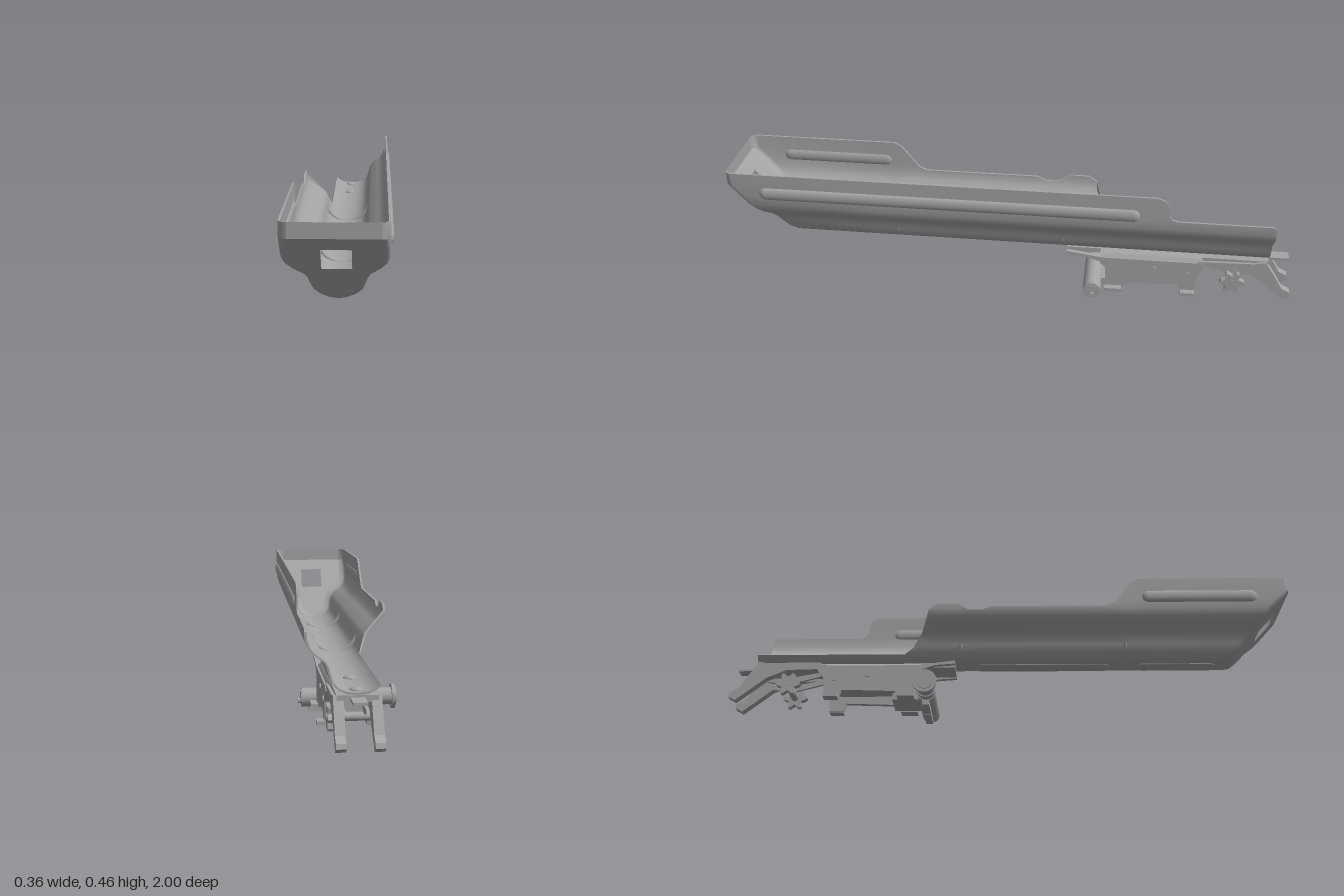
import * as THREE from 'three';
import { toCreasedNormals } from 'three/addons/utils/BufferGeometryUtils.js';

const CX = 0.017; // centre line of the tray
const T = 0.007; // sheet thickness
const clamp = THREE.MathUtils.clamp;

// Half cross-section of the tray: distance from the centre line, height
const PROFILE = [[0, 0.178], [0.03, 0.181], [0.055, 0.192], [0.073, 0.21], [0.082, 0.235], [0.088, 0.257],
  [0.096, 0.272], [0.125, 0.295], [0.142, 0.314], [0.15, 0.338], [0.151, 0.37], [0.151, 0.41], [0.151, 0.457]];
// Height of each rim along z
const RIGHT_RIM = [[-0.91, 0.36], [-0.9, 0.37], [-0.58, 0.37], [-0.56, 0.376], [-0.55, 0.39], [-0.545, 0.425],
  [-0.535, 0.445], [-0.51, 0.457], [1, 0.457]];
const LEFT_RIM = [[-0.91, 0.205], [-0.38, 0.205], [-0.35, 0.225], [-0.32, 0.27], [-0.29, 0.34], [-0.26, 0.36],
  [-0.19, 0.36], [-0.15, 0.335], [-0.1, 0.335], [-0.07, 0.348], [0.34, 0.348], [0.37, 0.36], [0.43, 0.44],
  [0.46, 0.457], [1, 0.457]];

function lerpTable(table, key, from = 0) {
  const to = 1 - from;
  if (key <= table[0][from]) return table[0][to];
  for (let i = 1; i < table.length; i++) {
    const a = table[i - 1], b = table[i];
    if (key <= b[from]) return a[to] + (b[to] - a[to]) * (key - a[from]) / (b[from] - a[from]);
  }
  return table[table.length - 1][to];
}

const frontZ = y => Math.min(1, 0.79 + 0.9 * (y - 0.178));

// Half width at height y; side -1 is the cut-away wall, inset rounds the front corners
function halfWidth(y, side, z, inset) {
  let w = lerpTable(PROFILE, y, 1);
  if (side < 0) w += clamp((y - 0.26) / 0.05, 0, 1) * (z < 0.4 ? 0.013 : 0.008);
  return Math.max(0, w - inset * Math.min(1, w / 0.05));
}

function trayGeometry() {
  const zs = [...new Set([...RIGHT_RIM, ...LEFT_RIM].map(p => p[0]))].filter(z => z < 0.7).sort((a, b) => a - b);
  const stations = zs.map(z => ({ z }));
  for (const off of [0.025, 0.017, 0.01, 0.004, 0]) stations.push({ off });
  const half = PROFILE.map(p => p[1]);
  const chain = [...half.slice(1).reverse().map(y => [-1, y]), ...half.map(y => [1, y])];
  const M = chain.length, N = 2 * M, pos = [], idx = [];
  for (const s of stations) {
    const outer = [], inner = [];
    for (const [side, py] of chain) {
      const rim = s.z === undefined ? 0.457 : lerpTable(side < 0 ? LEFT_RIM : RIGHT_RIM, s.z);
      const y = Math.min(py, rim);
      const z = s.z === undefined ? frontZ(y) - s.off : s.z;
      const inset = s.z === undefined ? 0.025 - Math.sqrt(0.025 ** 2 - (0.025 - s.off) ** 2) : 0;
      const w = halfWidth(y, side, z, inset), k = clamp((y - 0.178) / 0.06, 0, 1);
      outer.push([CX + side * w, y, z]);
      inner.push([CX + side * Math.max(0, w - T * k), y + T * (1 - k), z]);
    }
    for (const p of [...outer, ...inner.reverse()]) pos.push(...p);
  }
  for (let s = 0; s < stations.length - 1; s++) {
    for (let i = 0; i < N; i++) {
      const a = s * N + i, b = s * N + (i + 1) % N;
      idx.push(a, b, b + N, a, b + N, a + N);
    }
  }
  // Rear edge of the sheet
  for (let i = 0; i < M - 1; i++) idx.push(i, N - 1 - i, i + 1, i + 1, N - 1 - i, N - 2 - i);
  return meshData(pos, idx);
}

// Sloping front wall with a square window
function frontWallGeometry() {
  const ys = [...PROFILE.map(p => p[1]), 0.298].sort((a, b) => a - b);
  const pos = [], idx = [];
  ys.forEach((y, r) => {
    const xl = CX - halfWidth(y, -1, 1, 0.025), xr = CX + halfWidth(y, 1, 1, 0.025);
    for (const x of [xl, -0.027, 0.06, xr]) pos.push(clamp(x, xl, xr), y, frontZ(y));
    if (r === 0) return;
    for (let c = 0; c < 3; c++) {
      if (c === 1 && y > 0.299 && y < 0.371) continue;
      const a = (r - 1) * 4 + c;
      idx.push(a, a + 1, a + 5, a, a + 5, a + 4);
    }
  });
  return meshData(pos, idx);
}

function meshData(pos, idx) {
  const g = new THREE.BufferGeometry();
  g.setAttribute('position', new THREE.Float32BufferAttribute(pos, 3));
  g.setIndex(idx);
  return toCreasedNormals(g, 0.6);
}

export function createModel() {
  const group = new THREE.Group();
  const steel = new THREE.MeshStandardMaterial({ color: 0xa4a4a4, side: THREE.DoubleSide });
  steel.name = 'grey steel';

  const add = (name, geo, x = 0, y = 0, z = 0) => {
    const m = new THREE.Mesh(geo, steel);
    m.name = name;
    m.position.set(x, y, z);
    group.add(m);
    return m;
  };
  const box = (name, x0, x1, y0, y1, z0, z1) => add(name, new THREE.BoxGeometry(x1 - x0, y1 - y0, z1 - z0),
    (x0 + x1) / 2, (y0 + y1) / 2, (z0 + z1) / 2);
  // Rod lying along x
  const rod = (name, r, x0, x1, y, z, sides = 24) =>
    add(name, new THREE.CylinderGeometry(r, r, x1 - x0, sides).rotateZ(Math.PI / 2), (x0 + x1) / 2, y, z);
  // Flat plate drawn as [z, y] points, spanning x0 to x1
  const plate = (name, pts, x0, x1) => {
    const shape = new THREE.Shape(pts.map(([z, y]) => new THREE.Vector2(-z, y)));
    const geo = new THREE.ExtrudeGeometry(shape, { depth: x1 - x0, bevelEnabled: false }).rotateY(Math.PI / 2);
    return add(name, geo, x0);
  };

  // Tray
  add('tray', trayGeometry());
  add('frontWall', frontWallGeometry());

  // Pressed ribs on the side walls
  const rib = (name, x, z0, z1) => {
    const geo = new THREE.CapsuleGeometry(0.023, z1 - z0 - 0.046, 6, 16).rotateX(Math.PI / 2).scale(0.5, 1, 1);
    add(name, geo, x, 0.385, (z0 + z1) / 2);
  };
  rib('rightRib', CX + 0.15, -0.45, 0.88);
  rib('leftRib', CX - 0.157, 0.47, 0.88);

  // Pressed rings and pads under the belly
  for (const z of [0.41, -0.18]) {
    const ring = new THREE.TorusGeometry(0.082, 0.008, 8, 24, Math.PI * 0.8).rotateZ(Math.PI * 1.1);
    add('bellyRing', ring, CX, 0.264, z);
  }
  for (const [z0, z1] of [[0.45, 0.74], [-0.13, 0.36]]) {
    const pad = new THREE.CapsuleGeometry(0.03, z1 - z0 - 0.06, 6, 16).rotateX(Math.PI / 2).scale(1, 0.2, 1);
    add('bellyPad', pad, CX, 0.18, (z0 + z1) / 2);
  }
  for (const z of [-0.87, -0.69]) add('rivet', new THREE.SphereGeometry(0.02, 16, 8).scale(1, 0.5, 1), CX, 0.186, z);

  // Arched saddle joining the tray to the clamp
  const arch = new THREE.Shape();
  arch.moveTo(-0.073, 0.135);
  arch.bezierCurveTo(-0.073, 0.165, -0.055, 0.18, -0.03, 0.18);
  arch.lineTo(0.03, 0.18);
  arch.bezierCurveTo(0.055, 0.18, 0.073, 0.165, 0.073, 0.135);
  arch.lineTo(0.056, 0.135);
  arch.bezierCurveTo(0.056, 0.155, 0.045, 0.163, 0.03, 0.163);
  arch.lineTo(-0.03, 0.163);
  arch.bezierCurveTo(-0.045, 0.163, -0.056, 0.155, -0.056, 0.135);
  arch.closePath();
  const archGeo = new THREE.ExtrudeGeometry(arch, { depth: 0.36, bevelEnabled: false, curveSegments: 8 });
  add('saddle', toCreasedNormals(archGeo, 0.6), CX, 0, -0.68);
  box('saddleNose', CX - 0.045, CX + 0.045, 0.163, 0.18, -0.32, -0.2);
  box('saddleTail', CX - 0.06, CX + 0.06, 0.158, 0.178, -0.91, -0.68);
  box('tongue', -0.004, 0.038, 0.163, 0.172, -0.985, -0.9);

  const cheek = [[-0.2, 0.178], [-0.2, 0.165], [-0.27, 0.16], [-0.32, 0.142], [-0.34, 0.115], [-0.34, 0.035],
    [-0.4, 0.035], [-0.41, 0.06], [-0.6, 0.066], [-0.61, 0.035], [-0.66, 0.035], [-0.665, 0.11], [-0.69, 0.145],
    [-0.68, 0.16], [-0.33, 0.16]];
  const claw = [[-0.66, 0.165], [-0.68, 0.148], [-0.8, 0.145], [-0.87, 0.115], [-0.935, 0.062], [-0.975, 0.03],
    [-1, 0.045], [-0.995, 0.06], [-0.965, 0.075], [-0.935, 0.125], [-0.9, 0.178], [-0.86, 0.17]];
  const link = [[-0.67, 0.135], [-0.68, 0.148], [-0.8, 0.125], [-0.86, 0.125], [-0.87, 0.112], [-0.8, 0.1]];

  // Star-shaped nut outline
  const star = [];
  for (let i = 0; i < 36; i++) {
    const a = i / 36 * Math.PI * 2, r = 0.035 + 0.009 * Math.cos(a * 6);
    star.push([-0.79 + r * Math.cos(a), 0.09 + r * Math.sin(a)]);
  }

  // Mirrored clamp parts
  for (const s of [-1, 1]) {
    const span = (a, b) => s > 0 ? [CX + a, CX + b] : [CX - b, CX - a];
    plate('cheek', cheek, ...span(0.057, 0.073));
    plate('claw', claw, ...span(0.04, 0.07));
    plate('link', link, ...span(0.03, 0.04));
    plate('starNut', star, ...span(0.056, 0.078));
    for (const [z0, z1] of [[-0.4, -0.34], [-0.66, -0.61]]) box('foot', ...span(0.06, 0.096), 0.033, 0.046, z0, z1);
    for (const [z, y] of [[-0.51, 0.125], [-0.63, 0.11]]) rod('pinHead', 0.011, ...span(0.06, 0.077), y, z);
  }
  rod('frontPin', 0.014, CX - 0.06, CX + 0.06, 0.125, -0.51);
  rod('rearPin', 0.01, CX - 0.06, CX + 0.06, 0.11, -0.63);
  rod('starShaft', 0.013, CX - 0.08, CX + 0.08, 0.09, -0.79);
  box('innerLever', CX - 0.038, CX + 0.038, 0.085, 0.112, -0.62, -0.42);

  // Cross handle with its flanged knob
  const hy = 0.047, hz = -0.295;
  rod('handleTube', 0.032, -0.075, 0.138, hy, hz);
  rod('handleNeck', 0.029, -0.17, -0.075, hy, hz);
  rod('handleCollar', 0.033, -0.112, -0.097, hy, hz);
  rod('handleFlange', 0.042, -0.178, -0.166, hy, hz);
  rod('flangeCap', 0.03, -0.182, -0.178, hy, hz);
  rod('handleEnd', 0.025, 0.138, 0.141, hy, hz);
  rod('handleTip', 0.009, 0.14, 0.15, 0.036, hz, 12);
  box('handleFootLeft', -0.075, 0.014, 0, 0.028, -0.31, -0.285);
  box('handleFootRight', 0.02, 0.113, 0, 0.028, -0.31, -0.285);
  box('handleBracket', CX - 0.055, CX + 0.055, 0.035, 0.06, -0.42, -0.31);
  return group;
}
